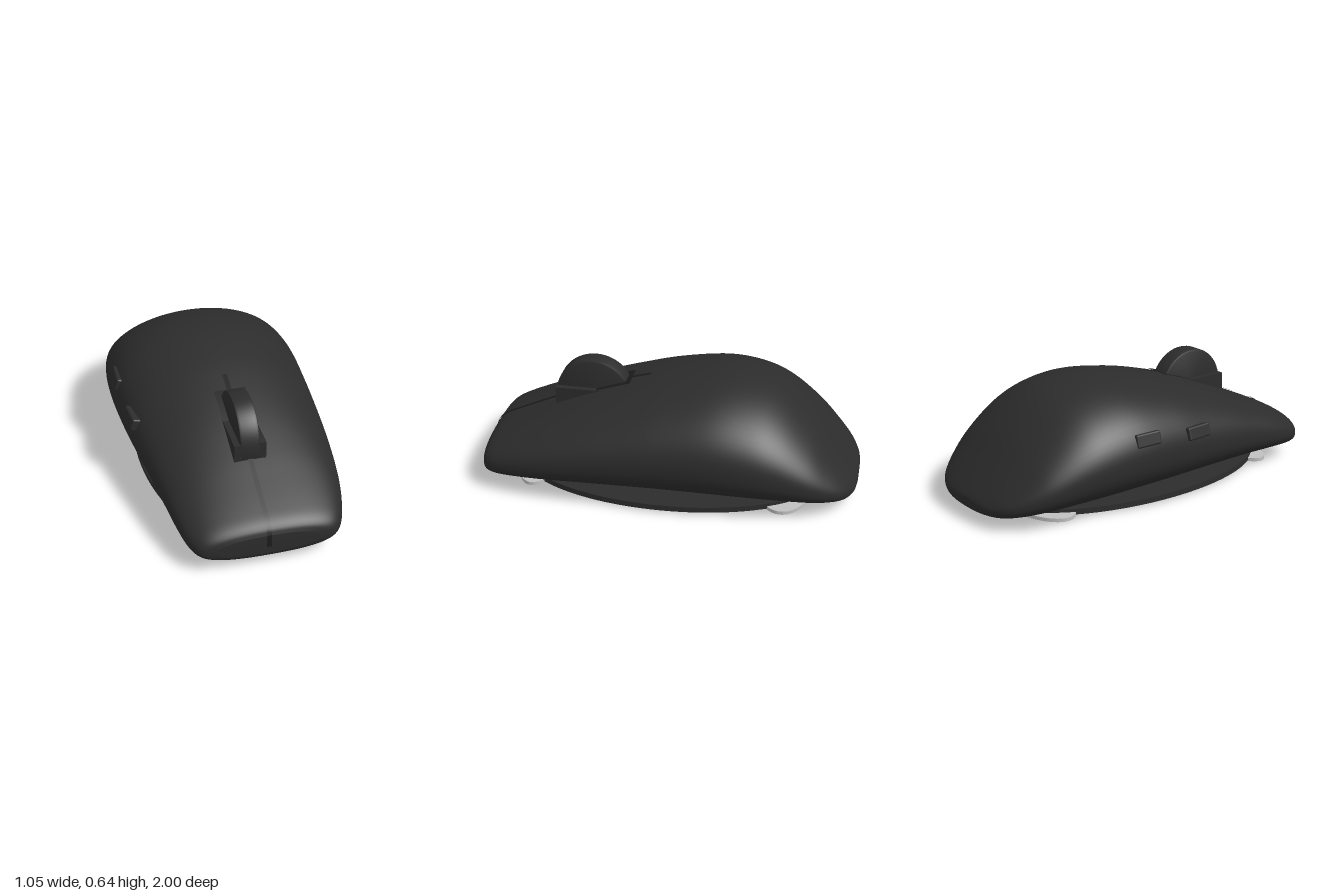
import * as THREE from 'three';
import { toCreasedNormals } from 'three/addons/utils/BufferGeometryUtils.js';
import { RoundedBoxGeometry } from 'three/addons/geometries/RoundedBoxGeometry.js';

const material = (name, color, extra = {}) => {
  const m = new THREE.MeshStandardMaterial({ color, ...extra });
  m.name = name;
  return m;
};

// Shell stations from nose to tail: z, right edge x, left edge x, top y, bottom y, height of widest line
const STATIONS = [
  [1.0, -0.25, 0.27, 0.19, 0.085, 0.13],
  [0.985, -0.315, 0.345, 0.22, 0.058, 0.13],
  [0.95, -0.355, 0.39, 0.25, 0.045, 0.135],
  [0.88, -0.385, 0.425, 0.285, 0.04, 0.15],
  [0.75, -0.413, 0.46, 0.343, 0.04, 0.18],
  [0.6, -0.435, 0.483, 0.408, 0.04, 0.21],
  [0.4, -0.465, 0.5, 0.487, 0.04, 0.245],
  [0.2, -0.492, 0.511, 0.552, 0.04, 0.27],
  [0.0, -0.515, 0.518, 0.602, 0.04, 0.288],
  [-0.25, -0.529, 0.524, 0.636, 0.04, 0.297],
  [-0.45, -0.52, 0.514, 0.612, 0.04, 0.28],
  [-0.6, -0.495, 0.49, 0.545, 0.04, 0.25],
  [-0.75, -0.448, 0.447, 0.42, 0.04, 0.2],
  [-0.86, -0.385, 0.387, 0.295, 0.04, 0.155],
  [-0.94, -0.305, 0.31, 0.198, 0.043, 0.12],
  [-0.985, -0.2, 0.21, 0.14, 0.055, 0.1],
  [-1.0, -0.1, 0.11, 0.115, 0.07, 0.095],
];
const spline = (k) => new THREE.CatmullRomCurve3(
  STATIONS.map((s) => new THREE.Vector3(s[k], s[k + 1], s[k + 2])), false, 'catmullrom', 0.5);
const planCurve = spline(0);
const heightCurve = spline(3);

function stationAt(t) {
  const p = planCurve.getPoint(t), h = heightCurve.getPoint(t);
  return { z: p.x, xMin: p.y, xMax: p.z, top: h.x, bottom: h.y, wide: h.z };
}

// Curve parameter where the shell reaches a given z
function paramAtZ(z) {
  let a = 0, b = 1;
  for (let i = 0; i < 30; i++) {
    const m = (a + b) / 2;
    if (planCurve.getPoint(m).x > z) a = m; else b = m;
  }
  return a;
}

// Shell lofted from superellipse sections, rounder above and squarer below
function shellGeometry(rows = 96, cols = 72) {
  const pos = [], index = [];
  for (let i = 0; i <= rows; i++) {
    const s = stationAt(i / rows);
    const cx = (s.xMin + s.xMax) / 2, w = (s.xMax - s.xMin) / 2;
    const upper = 2.02 + 0.45 * THREE.MathUtils.smoothstep(s.z, 0.2, 1);
    for (let j = 0; j < cols; j++) {
      const a = (j / cols) * Math.PI * 2, c = Math.cos(a), q = Math.sin(a);
      const e = 2 / (q >= 0 ? upper : 2.45);
      const h = q >= 0 ? s.top - s.wide : s.wide - s.bottom;
      pos.push(cx + w * Math.sign(c) * Math.abs(c) ** e,
        s.wide + h * Math.sign(q) * Math.abs(q) ** e, s.z);
    }
  }
  for (let i = 0; i < rows; i++) {
    for (let j = 0; j < cols; j++) {
      const k = (j + 1) % cols;
      const a = i * cols + j, b = i * cols + k, c = a + cols, d = b + cols;
      index.push(a, c, b, b, c, d);
    }
  }
  // End caps
  for (const [row, front] of [[0, true], [rows, false]]) {
    const s = stationAt(row / rows), centre = pos.length / 3;
    pos.push((s.xMin + s.xMax) / 2, s.wide, s.z);
    for (let j = 0; j < cols; j++) {
      const a = row * cols + j, b = row * cols + (j + 1) % cols;
      if (front) index.push(centre, a, b); else index.push(centre, b, a);
    }
  }
  const g = new THREE.BufferGeometry();
  g.setAttribute('position', new THREE.Float32BufferAttribute(pos, 3));
  g.setIndex(index);
  g.computeVertexNormals();
  return g;
}

// Thin strip lying along the centre line of the shell
function stripGeometry(zFront, zBack, x0, x1, noseY) {
  const path = noseY ? [[noseY, 1.003]] : [];
  const t0 = paramAtZ(zFront), t1 = paramAtZ(zBack), n = 30;
  for (let i = 0; i <= n; i++) {
    const s = stationAt(t0 + (t1 - t0) * i / n);
    path.push([s.top + 0.004, s.z + 0.003]);
  }
  const pos = [], index = [];
  path.forEach(([y, z], i) => {
    pos.push(x0, y, z, x1, y, z);
    const a = i * 2;
    if (i < path.length - 1) index.push(a, a + 1, a + 2, a + 1, a + 3, a + 2);
  });
  const g = new THREE.BufferGeometry();
  g.setAttribute('position', new THREE.Float32BufferAttribute(pos, 3));
  g.setIndex(index);
  g.computeVertexNormals();
  return g;
}

// Flat elliptical plate between two heights, optionally with an elliptical hole
function plateGeometry(rx, rz, yLow, yHigh, hole = 0) {
  const shape = new THREE.Shape().absellipse(0, 0, rx, rz, 0, Math.PI * 2);
  if (hole) shape.holes.push(new THREE.Path().absellipse(0, 0, rx * hole, rz * hole, 0, Math.PI * 2));
  const g = new THREE.ExtrudeGeometry(shape, { depth: yHigh - yLow, bevelEnabled: false, curveSegments: 64 });
  return toCreasedNormals(g.rotateX(Math.PI / 2).translate(0, yHigh, 0), 0.6);
}

export function createModel() {
  const group = new THREE.Group();
  const black = material('shell black', 0x2c2c2c);
  const dark = material('groove black', 0x1c1c1c, { side: THREE.DoubleSide });
  const grey = material('glide grey', 0xc0c0c0);
  const add = (name, geometry, mat, x = 0, y = 0, z = 0) => {
    const mesh = new THREE.Mesh(geometry, mat);
    mesh.name = name;
    mesh.position.set(x, y, z);
    group.add(mesh);
    return mesh;
  };

  add('shell', shellGeometry(), black);

  // Button split and scroll wheel slot
  add('frontGroove', stripGeometry(1, 0.62, -0.003, 0.022, 0.125), dark);
  add('rearGroove', stripGeometry(0.24, 0.13, -0.003, 0.022), dark);
  add('wheelSlot', stripGeometry(0.43, 0.23, -0.073, 0.093), dark);
  add('wheelFrame', new THREE.BoxGeometry(0.166, 0.145, 0.41), black, 0.01, 0.4125, 0.435);

  // Scroll wheel
  const profile = [[0, -0.052], [0.193, -0.052], [0.202, -0.048], [0.205, -0.038],
    [0.205, 0.038], [0.202, 0.048], [0.193, 0.052], [0, 0.052]].map(([r, y]) => new THREE.Vector2(r, y));
  const wheel = toCreasedNormals(new THREE.LatheGeometry(profile, 64).rotateZ(Math.PI / 2), 0.6);
  add('scrollWheel', wheel, black, 0.01, 0.44, 0.44);

  // Thumb buttons
  for (const [name, x, y, z, yaw] of [
    ['frontThumbButton', -0.484, 0.362, 0.105, 0.08],
    ['rearThumbButton', -0.492, 0.395, -0.232, -0.03],
  ]) {
    const button = add(name, new RoundedBoxGeometry(0.05, 0.07, 0.15, 3, 0.01), black, x, y, z);
    button.rotation.set(0, yaw, -0.28);
  }

  // Underside: base plate, glide feet and sensor ring
  add('basePlate', plateGeometry(0.45, 0.835, 0.012, 0.042), black, 0.01, 0, 0.02);
  add('frontFoot', plateGeometry(0.325, 0.123, 0.007, 0.026), grey, 0.012, 0, 0.732);
  add('rearFoot', plateGeometry(0.366, 0.165, 0.007, 0.026), grey, 0.011, 0, -0.62);
  add('sensorRing', plateGeometry(0.12, 0.163, 0, 0.016, 0.77), grey, 0.01, 0, 0.05);
  return group;
}
